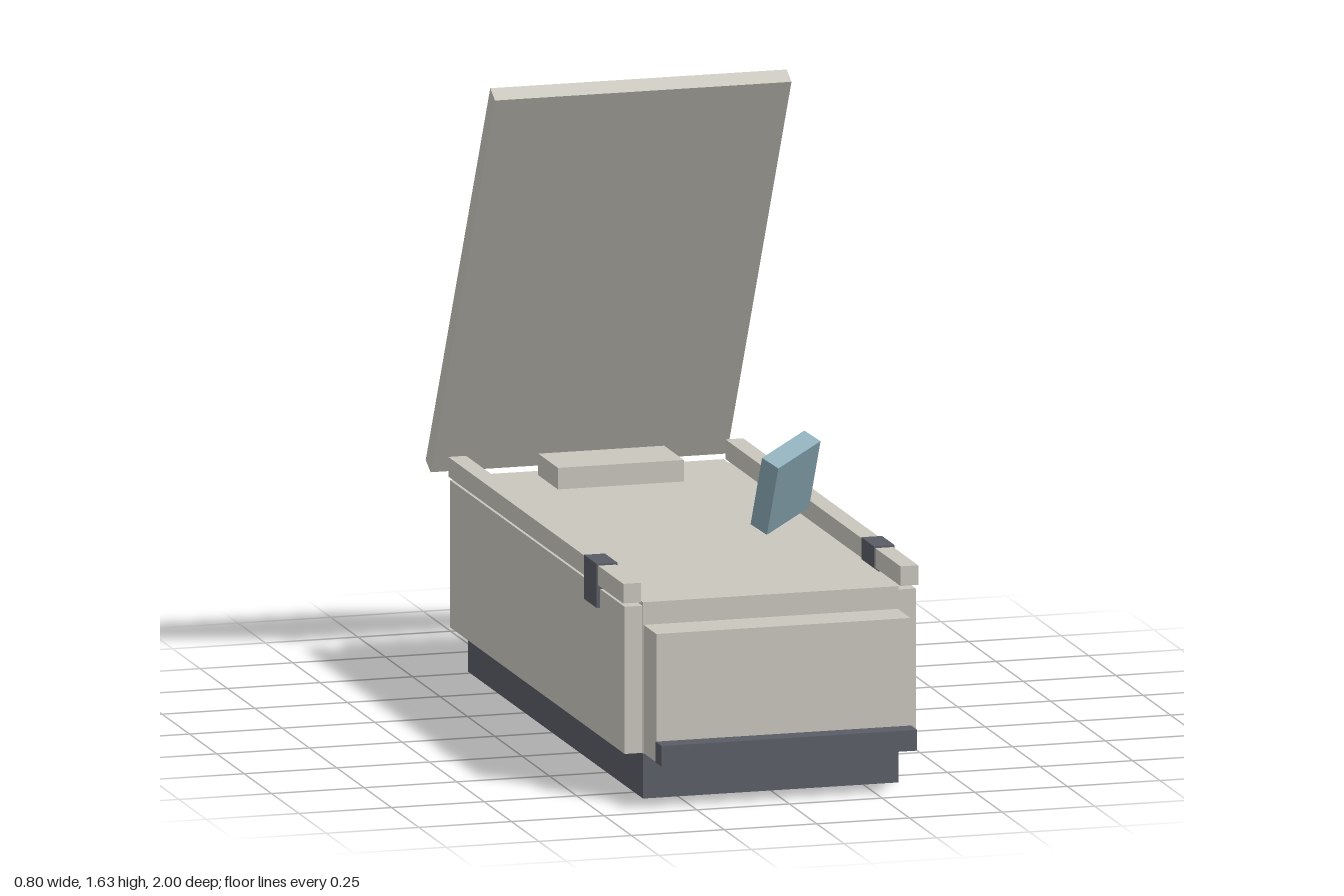
import * as THREE from 'three';

const mat = (name, color, side = THREE.FrontSide) => {
  const m = new THREE.MeshStandardMaterial({ color, side });
  m.name = name;
  return m;
};

export function createModel() {
  const casing = mat('warm grey casing', 0xc9c6bd);
  const trim = mat('slate trim', 0x5b5d66, THREE.DoubleSide);
  const glass = mat('dusty blue', 0x8dadba);
  const black = mat('black', 0x222222);
  const model = new THREE.Group();
  model.name = 'openCase';

  // box given by its lower and upper corners
  const box = (name, material, [x0, y0, z0], [x1, y1, z1], parent = model) => {
    const mesh = new THREE.Mesh(new THREE.BoxGeometry(x1 - x0, y1 - y0, z1 - z0), material);
    mesh.position.set((x0 + x1) / 2, (y0 + y1) / 2, (z0 + z1) / 2);
    mesh.name = name;
    parent.add(mesh);
    return mesh;
  };

  // hollow plinth, open underneath (the bottom face is dropped)
  const plinth = box('plinth', trim, [-0.345, 0, -0.77], [0.345, 0.118, 0.83]);
  const index = Array.from(plinth.geometry.index.array);
  index.splice(18, 6);
  plinth.geometry.setIndex(index);
  plinth.geometry.clearGroups();

  // body, end boxes and bumper
  box('body', casing, [-0.345, 0.12, -0.77], [0.345, 0.52, 0.83]);
  box('frontBox', casing, [-0.343, 0.12, 0.83], [0.343, 0.46, 0.945]);
  box('rearBox', casing, [-0.343, 0.12, -0.885], [0.343, 0.46, -0.77]);
  box('bumper', trim, [-0.345, 0.12, 0.945], [0.345, 0.175, 1]);
  box('rearBlock', black, [-0.06, 0, -1], [0.06, 0.115, -0.77]);
  box('deckPad', casing, [-0.17, 0.52, -0.72], [0.17, 0.577, -0.54]);

  // side panels, top rails and latches on both sides
  for (const s of [-1, 1]) {
    const sideBox = (name, material, x0, x1, y0, y1, z0, z1) =>
      box(name, material, [Math.min(s * x0, s * x1), y0, z0], [Math.max(s * x0, s * x1), y1, z1]);
    sideBox('sidePanel', casing, 0.345, 0.393, 0.12, 0.51, -0.77, 0.825);
    sideBox('topRail', casing, 0.35, 0.398, 0.52, 0.572, -0.77, 0.83);
    sideBox('latch', trim, 0.346, 0.402, 0.46, 0.577, 0.485, 0.6);
  }

  // raised lid with a blue panel on its back
  const tilt = THREE.MathUtils.degToRad(28);
  const lid = new THREE.Group();
  lid.name = 'lid';
  lid.position.set(0, 1.065, -0.6525);
  lid.rotation.x = tilt;
  model.add(lid);
  box('lidPanel', casing, [-0.4, -0.628, -0.025], [0.4, 0.628, 0.025], lid);
  box('lidInset', glass, [-0.345, -0.571, -0.08], [0.345, 0.571, -0.025], lid);

  // small tilted slab standing on the deck
  const slab = box('tiltedSlab', glass, [-0.085, -0.112, -0.028], [0.085, 0.112, 0.028]);
  slab.position.set(0.2465, 0.653, 0.13);
  slab.rotation.set(tilt, THREE.MathUtils.degToRad(35), 0);

  return model;
}
